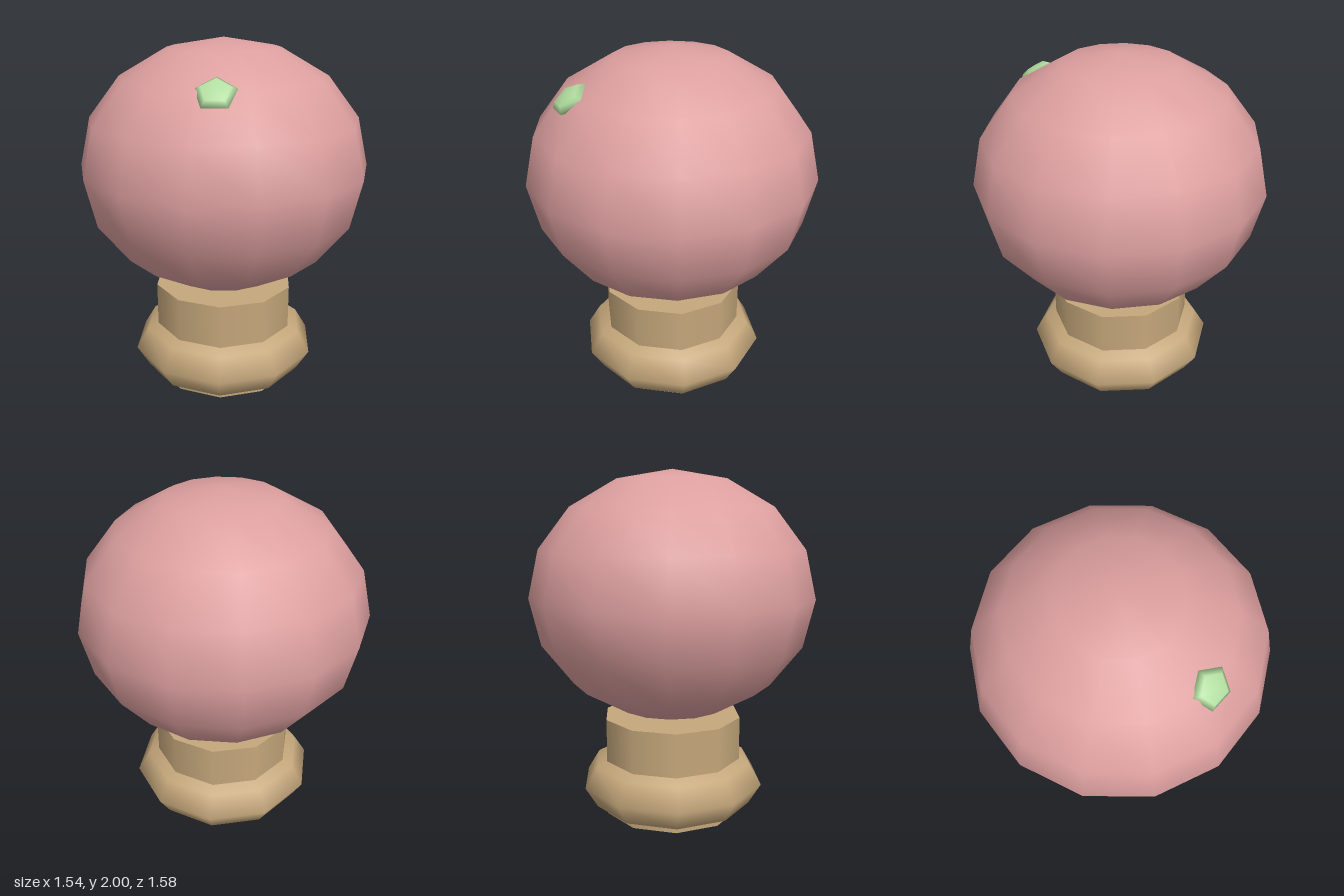
import * as THREE from 'three';

export function createModel() {
  const pink = new THREE.MeshStandardMaterial({ name: 'pink', color: 0xdd9f9f });
  const tan = new THREE.MeshStandardMaterial({ name: 'tan', color: 0xc5a77b });
  const green = new THREE.MeshStandardMaterial({ name: 'green', color: 0xb2dda0 });
  const model = new THREE.Group();
  model.name = 'ballOnPedestal';

  const add = (name, geometry, material, x, y, z) => {
    const mesh = new THREE.Mesh(geometry, material);
    mesh.name = name;
    mesh.position.set(x, y, z);
    model.add(mesh);
    return mesh;
  };

  // Squashed low-sided ball, with a seam of vertices on the z axis
  const flatBall = (radius, halfHeight, sides, rings, start) =>
    new THREE.SphereGeometry(radius, sides, rings, start).scale(1, halfHeight / radius, 1);

  // Large ball
  add('ball', flatBall(0.79, 0.685, 14, 8, Math.PI / 2), pink, 0, 1.315, 0);

  // Pedestal: ten-sided neck through a squashed foot
  add('neck', new THREE.CylinderGeometry(0.395, 0.395, 0.56, 10), tan, 0, 0.35, 0);
  add('foot', flatBall(0.525, 0.236, 10, 6, Math.PI / 2), tan, 0, 0.24, 0);

  // Small five-sided stud lying on the upper front of the ball
  const stud = flatBall(0.108, 0.035, 5, 4, -Math.PI / 2);
  stud.rotateX(0.66).rotateY(0.61);
  add('stud', stud, green, 0.315, 1.79, 0.45);

  return model;
}
